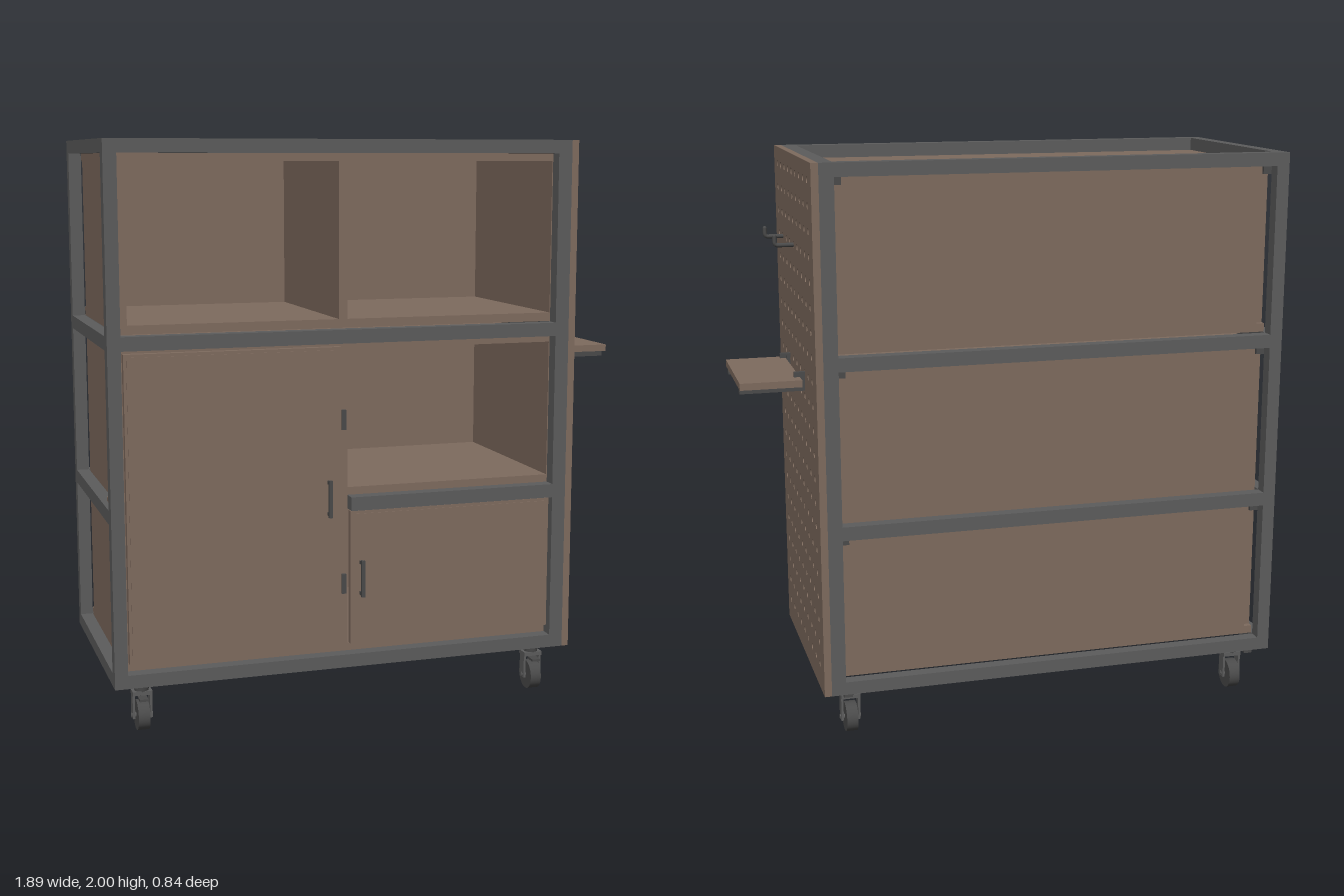
import * as THREE from 'three';

const mat = (name, color) => {
  const m = new THREE.MeshStandardMaterial({ color });
  m.name = name;
  return m;
};

export function createModel() {
  const wood = mat('wood', 0x7e6b5e);
  const steel = mat('frame steel', 0x5c5c5c);
  const dark = mat('dark metal', 0x4a4a4a);
  const root = new THREE.Group();

  const add = (parent, name, geo, m) => {
    const mesh = new THREE.Mesh(geo, m);
    mesh.name = name;
    parent.add(mesh);
    return mesh;
  };
  // box given by its limits on each axis
  const box = (parent, name, m, x0, x1, y0, y1, z0, z1) =>
    add(parent, name, new THREE.BoxGeometry(x1 - x0, y1 - y0, z1 - z0), m)
      .position.set((x0 + x1) / 2, (y0 + y1) / 2, (z0 + z1) / 2);
  const group = (name) => {
    const g = new THREE.Group();
    g.name = name;
    root.add(g);
    return g;
  };

  // limits of the frame, outer and inner
  const X0 = -0.945, X1 = 0.69, Y0 = 0.18, Y1 = 2, Z0 = -0.42, Z1 = 0.405;
  const xi0 = -0.9, xi1 = 0.64, zi0 = -0.375, zi1 = 0.357;

  // square tube frame
  const frame = group('frame');
  for (const [a, b] of [[X0, xi0], [xi1, X1]])
    for (const [c, d] of [[Z0, zi0], [zi1, Z1]]) box(frame, 'post', steel, a, b, Y0, Y1, c, d);
  for (const [y0, y1] of [[Y0, 0.226], [0.737, 0.785], [1.318, 1.365], [1.954, Y1]]) {
    box(frame, 'backRail', steel, xi0, xi1, y0, y1, Z0, zi0);
    box(frame, 'frontRail', steel, y0 === 0.737 ? -0.115 : xi0, xi1, y0, y1, zi1, Z1);
    box(frame, 'leftRail', steel, xi1, X1, y0, y1, zi0, zi1);
    box(frame, 'rightRail', steel, X0, xi0, y0, y1, zi0, zi1);
    // corner tabs that hold the back panels
    for (const x of [xi0, xi1 - 0.03]) box(frame, 'cornerTab', dark, x, x + 0.03, y0 - 0.03, y0 + 0.005, zi0, zi0 + 0.012);
  }

  // wooden carcass
  const body = group('cabinetBody');
  const zb = -0.365, zf = zi1;
  box(body, 'topPanel', wood, xi0, xi1, 1.927, 1.954, zb, zf);
  box(body, 'upperFloor', wood, xi0, xi1, 1.367, 1.397, zb, zf);
  box(body, 'lowerCeiling', wood, xi0, xi1, 1.293, 1.318, zb, zf);
  box(body, 'middleShelf', wood, -0.115, xi1, 0.785, 0.812, zb, zf);
  box(body, 'bottomPanel', wood, xi0, xi1, 0.226, 0.254, zb, zf);
  box(body, 'sideBlock', wood, -0.925, -0.9, 0.785, 0.8, 0.2, 0.355);
  for (const [y0, y1] of [[0.254, 1.293], [1.397, 1.927]]) {
    box(body, 'sidePanel', wood, xi0, -0.87, y0, y1, -0.345, zf);
    box(body, 'sidePanel', wood, 0.637, 0.667, y0, y1, -0.345, zf);
    box(body, 'divider', wood, -0.145, -0.115, y0, y1, -0.34, zf);
  }
  for (const [y0, y1] of [[0.24, 0.75], [0.75, 1.318], [1.367, 1.94]])
    box(body, 'backPanel', wood, -0.87, 0.637, y0, y1, zb, -0.34);

  // doors, bar handles and catches
  const doors = group('doors');
  const door = (x0, x1, y0, y1, hx, hy) => {
    box(doors, 'door', wood, x0, x1, y0, y1, zf + 0.002, 0.385);
    box(doors, 'doorFace', wood, x0 + 0.01, x1 - 0.01, y0 + 0.01, y1 - 0.01, 0.385, 0.388);
    box(doors, 'handleBar', dark, hx - 0.006, hx + 0.006, hy - 0.065, hy + 0.065, 0.406, 0.418);
    for (const s of [-1, 1])
      box(doors, 'handleFoot', dark, hx - 0.005, hx + 0.005, hy + s * 0.055 - 0.006, hy + s * 0.055 + 0.006, 0.385, 0.408);
  };
  door(-0.89, -0.145, 0.256, 1.305, -0.192, 0.785);
  door(-0.112, 0.635, 0.257, 0.732, -0.075, 0.495);
  for (const y of [0.47, 1.05]) box(doors, 'catch', dark, -0.138, -0.122, y - 0.035, y + 0.035, zf, 0.368);

  // perforated board, drawn in (-z, y) and turned to face the side
  const outline = new THREE.Shape([[-Z1, Y0], [-Z0, Y0], [-Z0, Y1], [-Z1, Y1]].map(p => new THREE.Vector2(...p)));
  for (let r = 0; r < 21; r++)
    for (let c = 0; c < 9; c++)
      outline.holes.push(new THREE.Path().absarc(-0.33 + c * 0.0832, 0.27 + r * 0.0835, 0.0115, 0, Math.PI * 2, true));
  const board = add(root, 'pegboard', new THREE.ExtrudeGeometry(outline, { depth: 0.025, bevelEnabled: false, curveSegments: 10 }), wood);
  board.rotation.y = Math.PI / 2;
  board.position.x = X1;

  // bent rod hooks
  const hookPath = new THREE.CurvePath();
  const v = (x, y) => new THREE.Vector3(x, y, 0);
  hookPath.add(new THREE.LineCurve3(v(0.7, 1.688), v(0.768, 1.688)));
  hookPath.add(new THREE.QuadraticBezierCurve3(v(0.768, 1.688), v(0.78, 1.688), v(0.78, 1.7)));
  hookPath.add(new THREE.LineCurve3(v(0.78, 1.7), v(0.78, 1.718)));
  const hooks = group('hooks');
  for (const z of [0.243, -0.005]) {
    add(hooks, 'hook', new THREE.TubeGeometry(hookPath, 24, 0.0075, 8), dark).position.z = z;
    const tip = add(hooks, 'hookTip', new THREE.SphereGeometry(0.0075, 8, 6), dark);
    tip.position.set(0.78, 1.718, z);
  }

  // small side shelf on two brackets
  const shelf = group('sideShelf');
  box(shelf, 'shelfBoard', wood, 0.73, 0.942, 1.231, 1.255, -0.22, 0.2);
  for (const z of [0.162, -0.172]) {
    box(shelf, 'bracketArm', dark, 0.725, 0.94, 1.21, 1.231, z - 0.01, z + 0.01);
    box(shelf, 'bracketBack', dark, 0.716, 0.73, 1.21, 1.275, z - 0.01, z + 0.01);
    box(shelf, 'bracketPeg', dark, 0.7, 0.752, 1.258, 1.275, z - 0.008, z + 0.008);
  }

  // swivel casters
  for (const x of [-0.84, 0.61])
    for (const z of [0.31, -0.315]) {
      const caster = group('caster');
      caster.position.set(x, 0, z);
      box(caster, 'mountPlate', dark, -0.04, 0.04, 0.167, 0.18, -0.035, 0.035);
      add(caster, 'swivel', new THREE.CylinderGeometry(0.028, 0.024, 0.03, 20), dark).position.y = 0.153;
      box(caster, 'forkTop', steel, -0.034, 0.034, 0.128, 0.142, -0.024, 0.024);
      for (const s of [-1, 1]) box(caster, 'forkArm', steel, s * 0.03 - 0.004, s * 0.03 + 0.004, 0.045, 0.13, -0.018, 0.018);
      const wheel = add(caster, 'wheel', new THREE.CylinderGeometry(0.053, 0.053, 0.04, 28), dark);
      const axle = add(caster, 'axle', new THREE.CylinderGeometry(0.009, 0.009, 0.074, 12), steel);
      for (const part of [wheel, axle]) {
        part.rotation.z = Math.PI / 2;
        part.position.y = 0.054;
      }
      box(caster, 'brakeLever', dark, -0.015, 0.015, 0.115, 0.123, 0.01, 0.053);
    }

  return root;
}
